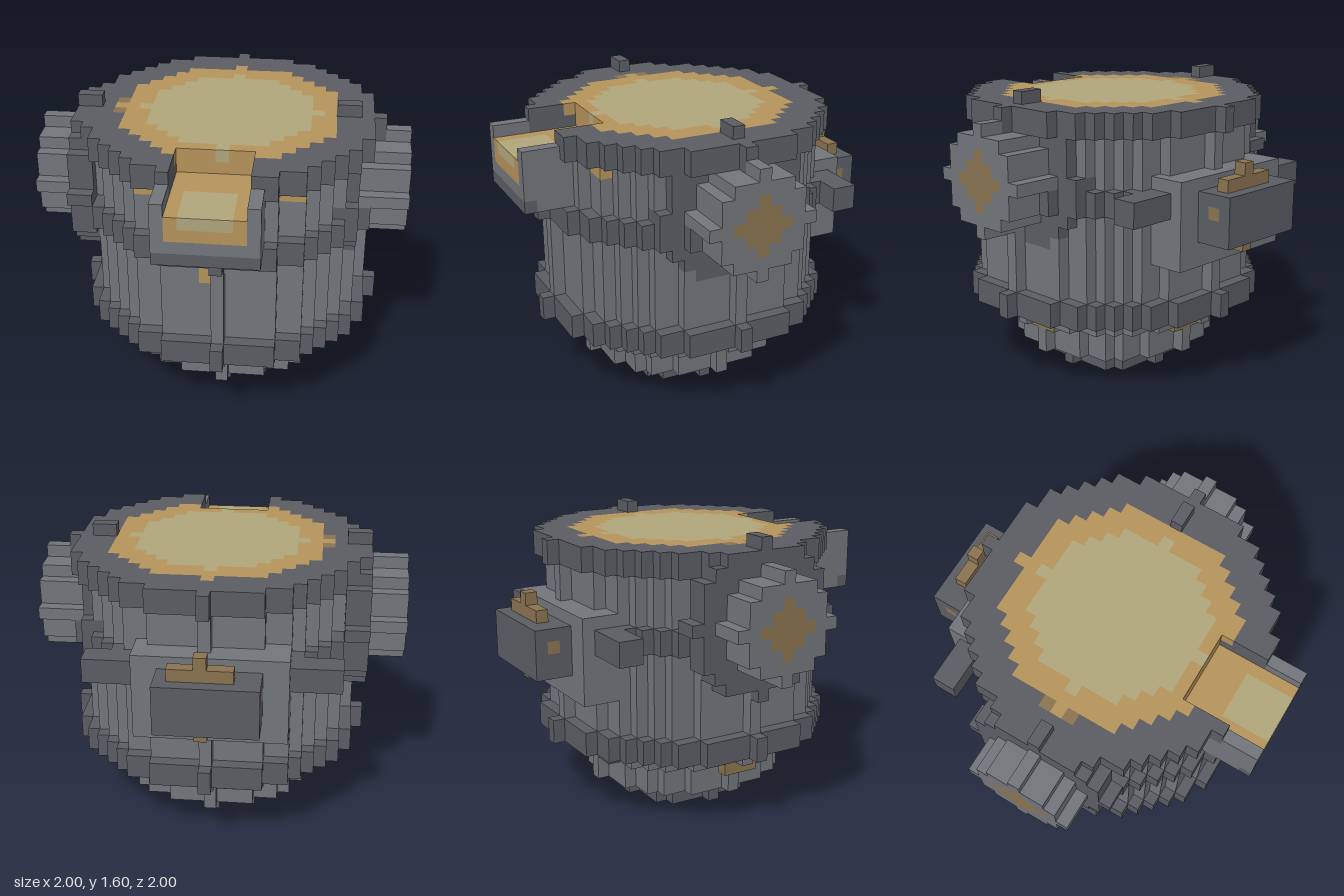
import * as THREE from 'three';

const U = 1 / 15; // edge of one cube
const PARTS = {
  shell: 0x72757a, bands: 0x5a5d63, spout: 0x72757a, spoutLip: 0x5a5d63,
  hubs: 0x72757a, flanges: 0x5a5d63, hubInlays: 0x8a7350,
  rearBracket: 0x72757a, rearBars: 0x5a5d63, gearbox: 0x5a5d63, gearWheel: 0x8a7350,
  moltenRim: 0xb5935a, moltenCore: 0xb0a67c, heatVents: 0xb5935a, footVents: 0x8a7350,
};

// Outer faces: direction and the two edge directions spanning the face (u x v = n)
const FACES = [
  [[1, 0, 0], [0, 1, 0], [0, 0, 1]], [[-1, 0, 0], [0, 0, 1], [0, 1, 0]],
  [[0, 1, 0], [0, 0, 1], [1, 0, 0]], [[0, -1, 0], [1, 0, 0], [0, 0, 1]],
  [[0, 0, 1], [1, 0, 0], [0, 1, 0]], [[0, 0, -1], [0, 1, 0], [1, 0, 0]],
];

export function createModel() {
  const cells = new Map();
  const key = (x, y, z) => `${x},${y},${z}`;

  // Fill inclusive cell ranges; a null part carves
  function box(part, x0, x1, y0, y1, z0, z1) {
    for (let x = x0; x <= x1; x++) for (let y = y0; y <= y1; y++) for (let z = z0; z <= z1; z++) {
      if (part) cells.set(key(x, y, z), part);
      else cells.delete(key(x, y, z));
    }
  }
  // Fill a disc of radius r, calling put(a, b) for each cell
  function disc(r, put) {
    for (let a = -r; a <= r; a++) for (let b = -r; b <= r; b++) if (a * a + b * b <= r * r) put(a, b);
  }
  const layer = (part, r, y0, y1) => disc(r, (x, z) => box(part, x, x, y0, y1, z, z));
  const sideDisc = (part, r, x0, x1) => disc(r, (y, z) => box(part, x0, x1, 17 + y, 17 + y, z, z));

  // Flanges and hubs of the two side trunnions
  sideDisc('flanges', 6, -12, -11);
  sideDisc('flanges', 6, 9, 10);
  sideDisc('hubs', 4, -15, -13);
  sideDisc('hubs', 4, 11, 14);
  sideDisc('hubInlays', 2, -15, -15);
  sideDisc('hubInlays', 2, 14, 14);

  // Rear bracket, bars and gearbox with its wheel
  box('rearBracket', -6, 5, 11, 17, -12, -9);
  box('rearBars', -10, 9, 15, 16, -11, -10);
  box('rearBracket', -6, 5, 11, 17, -12, -10);
  box('gearbox', -4, 3, 13, 16, -15, -13);
  disc(3, (x, y) => box('gearWheel', x, x, 15 + y, 15 + y, -14, -14));
  box('gearWheel', -4, -4, 15, 15, -14, -14);

  // Spout block
  box('spout', -4, 3, 17, 21, 8, 14);
  box('spoutLip', -4, 3, 17, 17, 14, 14);

  // Stepped vessel
  layer('bands', 5, 0, 1);
  layer('shell', 8, 2, 4);
  layer('shell', 10, 5, 5);
  layer('bands', 12, 6, 7);
  layer('shell', 11, 8, 20);
  layer('bands', 12, 15, 16);
  layer('bands', 12, 21, 22);

  // Molten contents at the top
  layer('moltenRim', 9, 22, 22);
  layer('moltenCore', 7, 22, 22);
  for (const z of [-1, 1]) box('footVents', -9, -9, 22, 22, z, z);
  sideDisc('flanges', 6, 9, 10);
  box('moltenRim', -3, 2, 21, 22, 7, 7);
  box('moltenCore', 0, 0, 22, 22, 7, 7);

  // Spout channel
  box(null, -3, 2, 21, 22, 8, 14);
  box('moltenRim', -3, 2, 19, 20, 8, 14);
  box('moltenCore', -2, 1, 20, 20, 11, 14);

  // Small glowing vents
  box('heatVents', -6, -5, 20, 20, 9, 9);
  box('heatVents', 5, 6, 20, 20, 9, 9);
  box('heatVents', -1, -1, 13, 14, 10, 10);
  box('footVents', -2, 1, 4, 4, 8, 8);
  box('footVents', -2, 1, 4, 4, -8, -8);
  box('footVents', -9, -9, 4, 4, -1, 1);
  box('footVents', 8, 8, 4, 4, -1, 1);

  // Collect the exposed faces of every part
  const data = {};
  for (const name in PARTS) data[name] = { pos: [], nor: [] };
  for (const [k, part] of cells) {
    const c = k.split(',').map(Number);
    for (const [n, u, v] of FACES) {
      if (cells.has(key(c[0] + n[0], c[1] + n[1], c[2] + n[2]))) continue;
      for (const [s, t] of [[0, 0], [1, 0], [1, 1], [0, 0], [1, 1], [0, 1]]) {
        for (let i = 0; i < 3; i++) {
          data[part].pos.push((c[i] + Math.max(n[i], 0) + s * u[i] + t * v[i]) * U);
          data[part].nor.push(n[i]);
        }
      }
    }
  }

  const group = new THREE.Group();
  group.name = 'crucible';
  for (const name in PARTS) {
    const geo = new THREE.BufferGeometry();
    geo.setAttribute('position', new THREE.Float32BufferAttribute(data[name].pos, 3));
    geo.setAttribute('normal', new THREE.Float32BufferAttribute(data[name].nor, 3));
    const mesh = new THREE.Mesh(geo, new THREE.MeshStandardMaterial({ color: PARTS[name] }));
    mesh.name = name;
    group.add(mesh);
  }
  return group;
}
